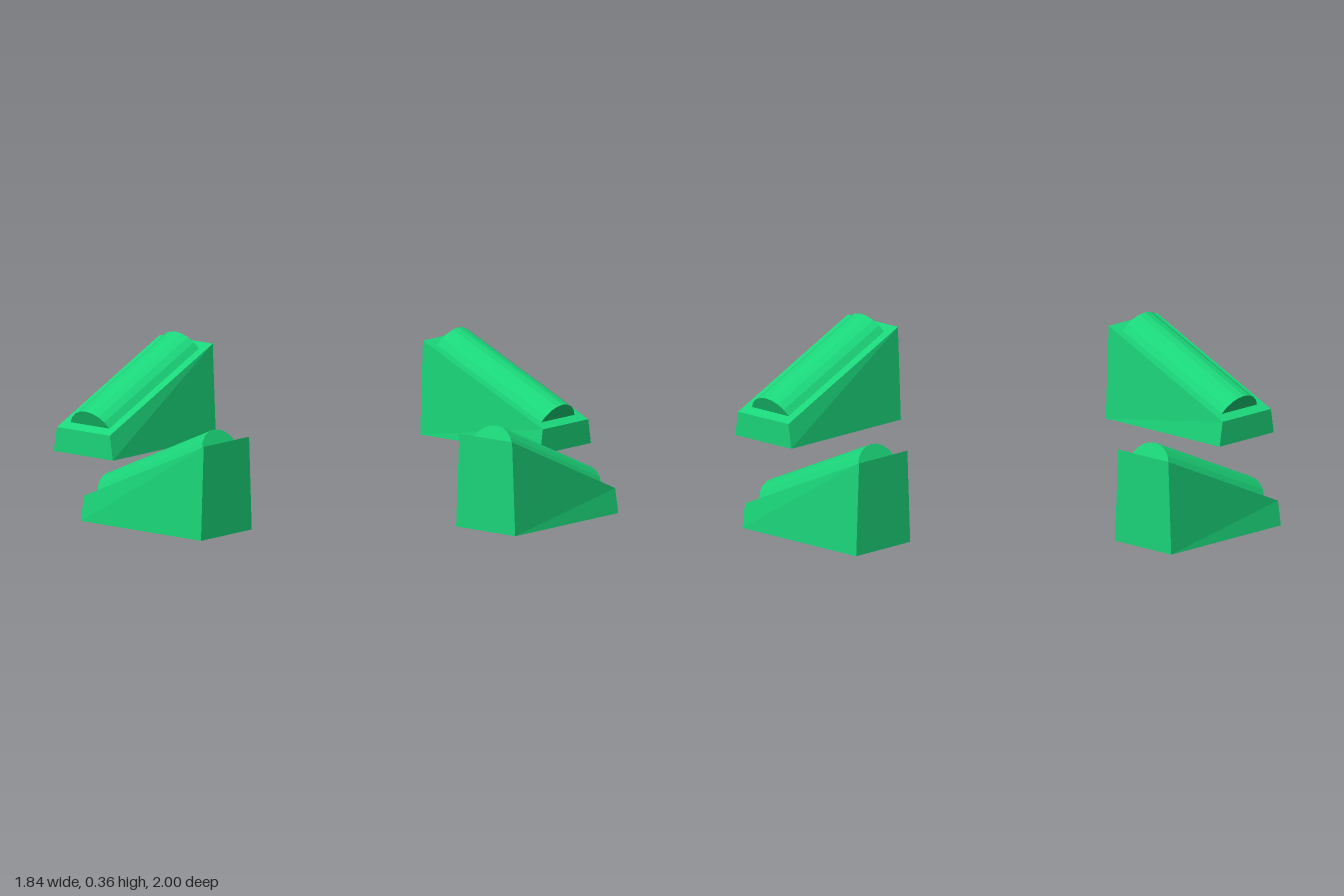
import * as THREE from 'three';

const LENGTH = 0.54, WIDTH = 0.266, TAPER = 0.014;
const TALL = 0.325, LOW = 0.085;
const SLOPE = Math.atan2(TALL - LOW, LENGTH);

// Sloping block: a box whose top falls towards +x and narrows slightly
function wedgeGeometry() {
  const g = new THREE.BoxGeometry(LENGTH, 1, WIDTH);
  const p = g.attributes.position;
  for (let i = 0; i < p.count; i++) {
    if (p.getY(i) < 0) { p.setY(i, 0); continue; }
    p.setY(i, p.getX(i) < 0 ? TALL : LOW);
    p.setZ(i, p.getZ(i) - Math.sign(p.getZ(i)) * TAPER);
  }
  g.computeVertexNormals();
  return g;
}

// Domed bar: a circular segment extruded along x, centred, base at y = 0
function barGeometry(length, half, height, sides) {
  const r = (half * half + height * height) / (2 * height);
  const sweep = Math.asin(half / r);
  const shape = new THREE.Shape();
  for (let i = 0; i <= sides; i++) {
    const a = sweep * (1 - 2 * i / sides);
    const x = r * Math.sin(a), y = r * Math.cos(a) - r + height;
    if (i === 0) shape.moveTo(x, y); else shape.lineTo(x, y);
  }
  shape.closePath();
  const g = new THREE.ExtrudeGeometry(shape, { depth: length, bevelEnabled: false });
  return g.translate(0, 0, -length / 2).rotateY(Math.PI / 2);
}

export function createModel() {
  const model = new THREE.Group();
  model.name = 'cornerFeet';
  const green = new THREE.MeshStandardMaterial({ color: 0x1bd67a, flatShading: true });
  const wedge = wedgeGeometry();
  const bar = barGeometry(0.47 / Math.cos(SLOPE), 0.087, 0.056, 8);

  // One foot in each corner, its tall end towards the front or back
  for (const sx of [1, -1]) for (const sz of [1, -1]) {
    const foot = new THREE.Group();
    foot.name = (sz > 0 ? 'front' : 'back') + (sx > 0 ? 'Left' : 'Right') + 'Foot';
    foot.position.set(sx * 0.635, 0, sz * 0.715);
    foot.rotation.y = Math.atan2(sz, sx);

    const block = new THREE.Mesh(wedge, green);
    block.name = 'wedgeBlock';

    const ridge = new THREE.Mesh(bar, green);
    ridge.name = 'domedBar';
    ridge.position.y = (TALL + LOW) / 2;
    ridge.rotation.z = -SLOPE;

    foot.add(block, ridge);
    model.add(foot);
  }
  return model;
}
